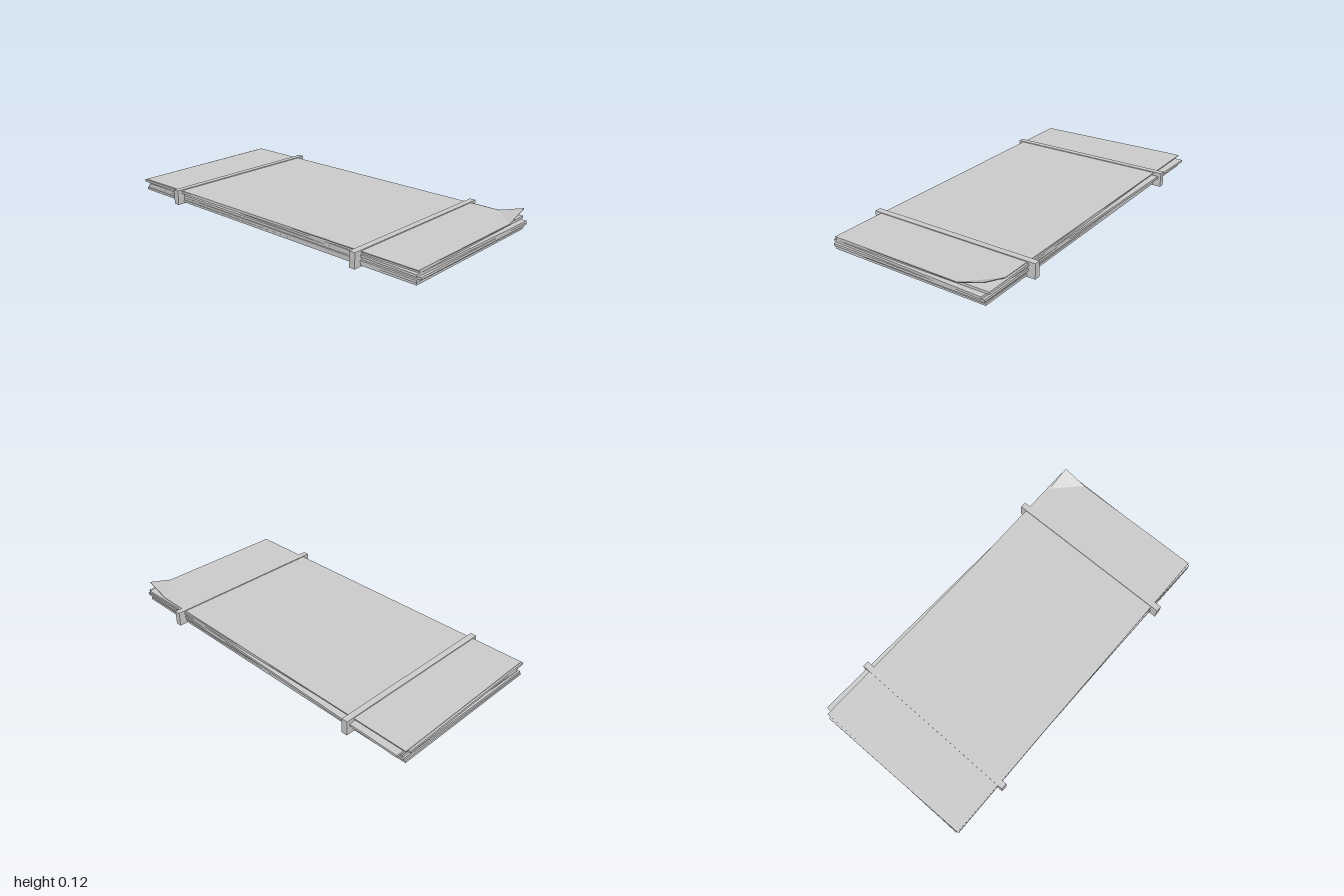
import * as THREE from 'three';
import { ConvexGeometry } from 'three/addons/geometries/ConvexGeometry.js';

export function createModel() {
  const model = new THREE.Group();
  model.name = 'sheetStack';
  const grey = new THREE.MeshStandardMaterial({ color: 0xcccccc });
  grey.name = 'plain grey';

  const add = (name, geometry, parent = model) => {
    const mesh = new THREE.Mesh(geometry, grey);
    mesh.name = name;
    parent.add(mesh);
    return mesh;
  };
  const box = (name, w, h, d, x, y, z, parent) => {
    const mesh = add(name, new THREE.BoxGeometry(w, h, d), parent);
    mesh.position.set(x, y, z);
    return mesh;
  };

  // Loosely stacked sheets, each slid and turned a little: [x, z, turn]
  const thickness = 0.0128;
  [
    [-0.005, 0.003, 0.002],
    [0.0, 0.003, -0.003],
    [0.012, -0.002, 0.004],
    [0.008, -0.012, -0.02],
    [-0.008, 0.005, 0.018],
  ].forEach(([x, z, turn], i) => {
    const y = 0.0135 + i * 0.0135;
    box('sheet' + (i + 1), 1.96, thickness, 0.915, x, y, z).rotation.y = turn;
  });

  // Thin top sheet with one back corner cut away for the bent flap
  const shape = new THREE.Shape([
    [-0.97, -0.475], [0.98, -0.455], [0.98, 0.31], [0.83, 0.455], [-0.985, 0.455],
  ].map(([x, y]) => new THREE.Vector2(x, y)));
  const top = add('topSheet', new THREE.ExtrudeGeometry(shape, { depth: 0.005, bevelEnabled: false }));
  top.rotation.x = -Math.PI / 2;
  top.position.y = 0.0725;

  // Corner bent upward along a diagonal fold
  const corners = [[0.83, 0.0775, -0.455], [0.98, 0.0775, -0.31], [0.975, 0.122, -0.453]];
  add('bentCorner', new ConvexGeometry(corners.flatMap(([x, y, z]) => [
    new THREE.Vector3(x, y, z), new THREE.Vector3(x, y - 0.004, z),
  ])));

  // Two straps wrapped around the stack
  for (const x of [-0.655, 0.645]) {
    const strap = new THREE.Group();
    strap.name = 'strap';
    strap.position.x = x;
    model.add(strap);
    box('strapTop', 0.035, 0.006, 0.88, 0, 0.079, 0, strap);
    box('strapBottom', 0.035, 0.008, 0.88, 0, 0.004, 0, strap);
    for (const side of [-1, 1]) {
      box('strapSide', 0.035, 0.082, 0.06, 0, 0.041, side * 0.47, strap);
    }
  }
  return model;
}
